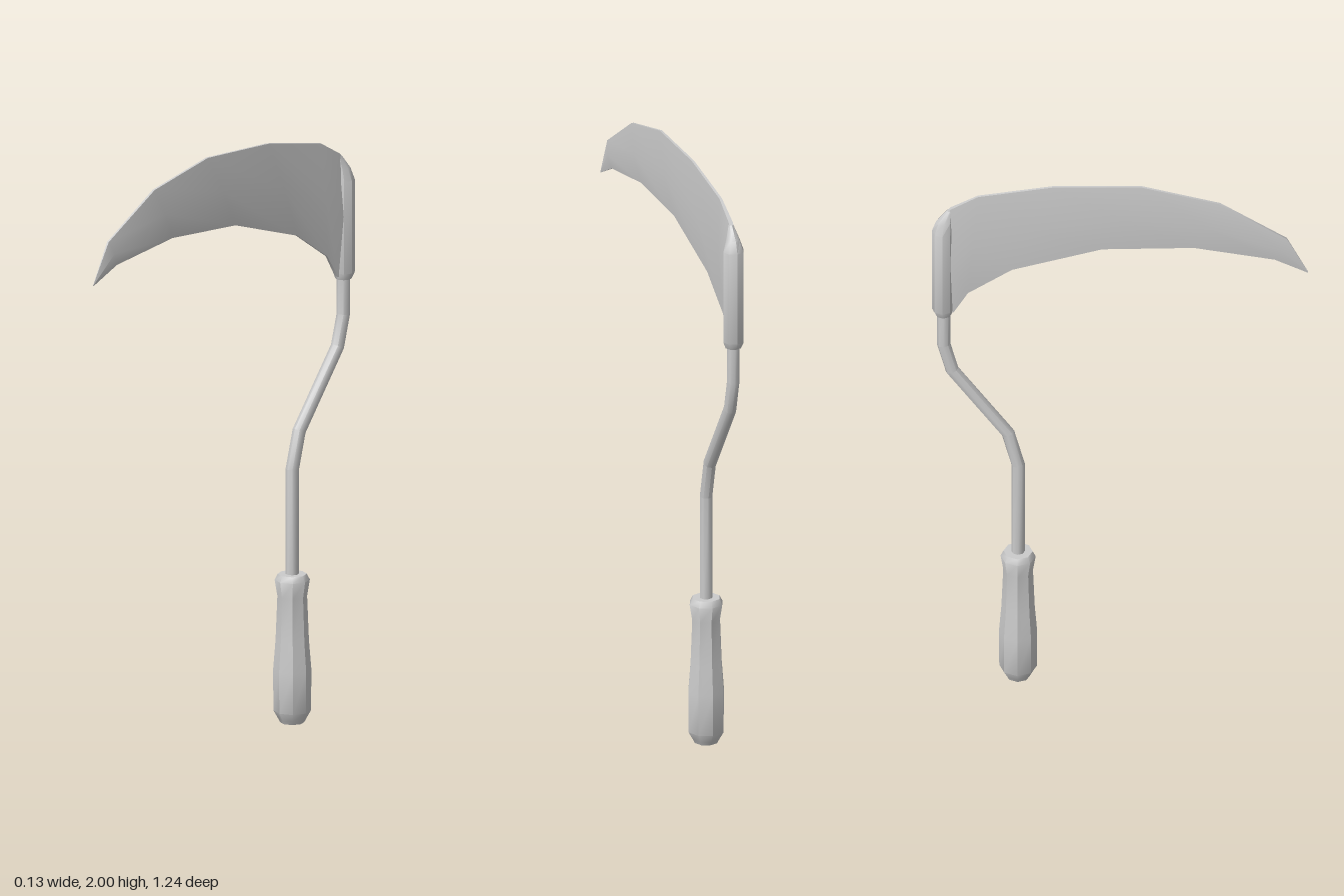
import * as THREE from 'three';
import { toCreasedNormals } from 'three/addons/utils/BufferGeometryUtils.js';

const material = new THREE.MeshStandardMaterial({ color: 0xcccccc });
const SIDES = 8;

// Skin a list of equal-sized point rings and cap both ends.
function loft(name, rings, crease) {
  const n = rings[0].length;
  const last = (rings.length - 1) * n;
  const index = [];
  for (let i = 0; i < rings.length - 1; i++) {
    for (let j = 0; j < n; j++) {
      const a = i * n + j, b = i * n + (j + 1) % n;
      index.push(a, b, b + n, a, b + n, a + n);
    }
  }
  for (let j = 1; j < n - 1; j++) {
    index.push(0, j + 1, j, last, last + j, last + j + 1);
  }
  const geometry = new THREE.BufferGeometry();
  geometry.setAttribute('position', new THREE.Float32BufferAttribute(rings.flat(2), 3));
  geometry.setIndex(index);
  const mesh = new THREE.Mesh(toCreasedNormals(geometry, crease), material);
  mesh.name = name;
  return mesh;
}

// Elliptical ring centred on x = 0; slope tilts it about the x axis.
function ring(y, z, rx, rz = rx, slope = 0) {
  return Array.from({ length: SIDES }, (_, j) => {
    const a = (j / SIDES) * Math.PI * 2;
    const d = rz * Math.cos(a);
    return [rx * Math.sin(a), y - d * Math.sin(slope), z + d * Math.cos(slope)];
  });
}

// Turned grip: [y, radius]
function handle() {
  const profile = [[0, 0.04], [0.012, 0.046], [0.04, 0.062], [0.18, 0.063],
    [0.28, 0.055], [0.43, 0.049], [0.485, 0.058], [0.505, 0.048]];
  return loft('handle', profile.map(([y, r]) => ring(y, -0.335, r)), 0.75);
}

// Bent rod with mitred joints: [z, y]
function shank() {
  const path = [[-0.335, 0.48], [-0.335, 0.86], [-0.368, 0.985],
    [-0.552, 1.237], [-0.58, 1.342], [-0.58, 1.5]];
  const angle = (p, q) => Math.atan2(q[0] - p[0], q[1] - p[1]);
  const r = 0.022;
  const rings = path.map((p, i) => {
    const before = angle(path[Math.max(i - 1, 0)], path[Math.max(i, 1)]);
    const end = path.length - 1;
    const after = angle(path[Math.min(i, end - 1)], path[Math.min(i + 1, end)]);
    const mitre = r / Math.cos((after - before) / 2);
    return ring(p[1], p[0], r, mitre, (before + after) / 2);
  });
  return loft('shank', rings, 0.8);
}

// Sleeve that holds the blade, closing to a forward-leaning tip
function socket() {
  return loft('socket', [
    ring(1.463, -0.581, 0.027),
    ring(1.485, -0.583, 0.036),
    ring(1.8, -0.583, 0.036),
    ring(1.84, -0.578, 0.023, 0.027),
    ring(1.885, -0.56, 0.008, 0.01),
  ], 0.75);
}

// Curved blade: [upper z, upper y, lower z, lower y, half thickness]
function blade() {
  const sections = [
    [0.62, 1.672, 0.619, 1.668, 0.001],
    [0.55, 1.805, 0.51, 1.72, 0.012],
    [0.33, 1.94, 0.244, 1.76, 0.014],
    [0.074, 2, -0.058, 1.745, 0.014],
    [-0.217, 1.992, -0.355, 1.652, 0.014],
    [-0.467, 1.945, -0.5, 1.553, 0.015],
    [-0.557, 1.893, -0.547, 1.475, 0.024],
    [-0.59, 1.85, -0.58, 1.475, 0.024],
  ];
  const rings = sections.map(([uz, uy, lz, ly, t]) => {
    const edge = t * 0.3;
    const my = (uy + ly) / 2, mz = (uz + lz) / 2;
    return [[edge, uy, uz], [t, my, mz], [edge, ly, lz],
      [-edge, ly, lz], [-t, my, mz], [-edge, uy, uz]];
  });
  return loft('blade', rings, 0.6);
}

export function createModel() {
  const group = new THREE.Group();
  group.name = 'sickle';
  group.add(handle(), shank(), socket(), blade());
  return group;
}
